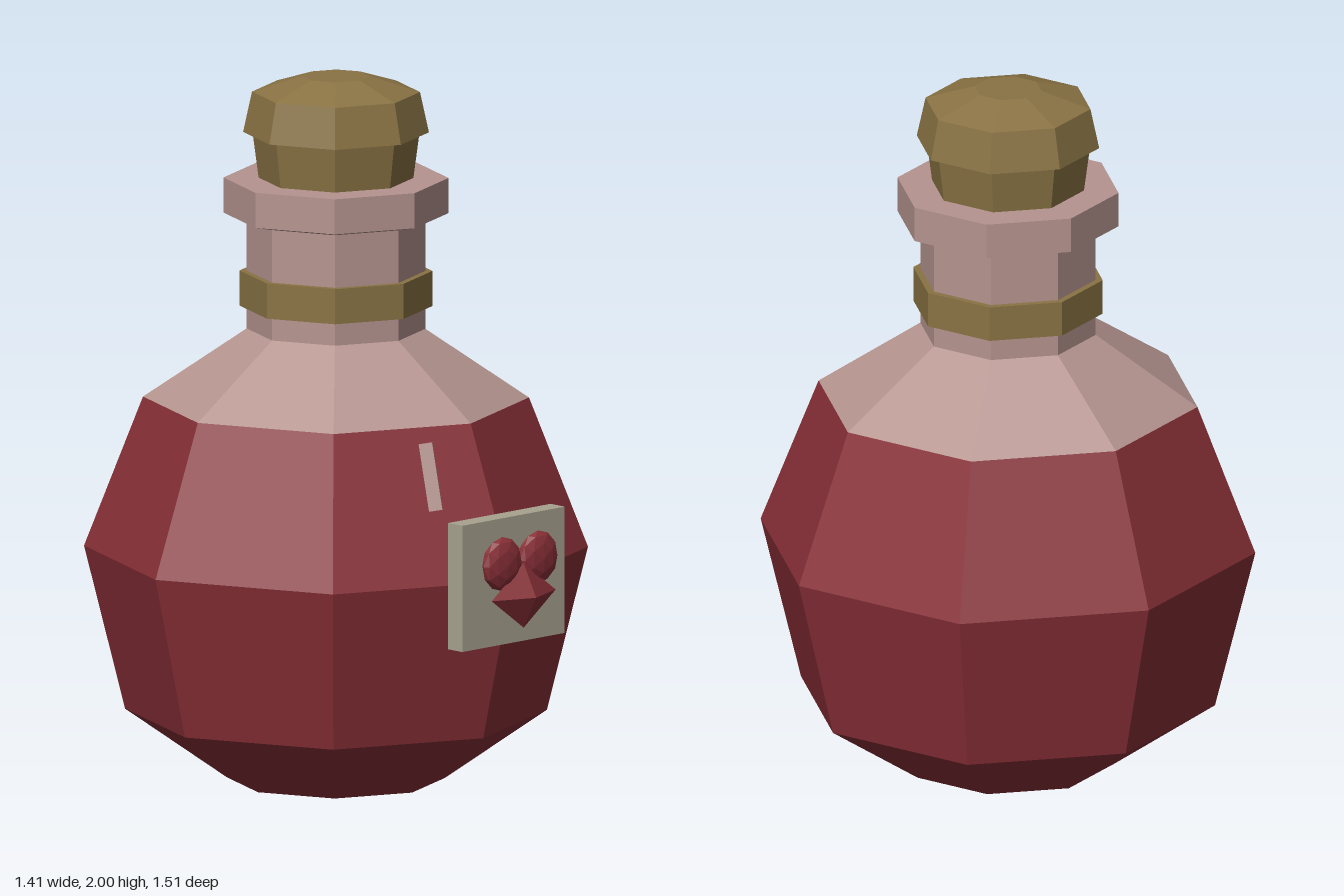
import * as THREE from 'three';

const material = (color) => new THREE.MeshStandardMaterial({ color, flatShading: true });

export function createModel() {
  const model = new THREE.Group();
  const red = material(0x8a3038);
  const glass = material(0xb5948f);
  const cork = material(0x8a7344);
  const paper = material(0xa8a38f);

  const add = (name, geometry, mat, parent = model) => {
    const mesh = new THREE.Mesh(geometry, mat);
    mesh.name = name;
    parent.add(mesh);
    return mesh;
  };

  // Eight-sided turned parts share one axis, set slightly back
  const bottle = new THREE.Group();
  bottle.name = 'bottle';
  bottle.position.z = -0.05;
  model.add(bottle);
  const turn = (name, profile, mat) =>
    add(name, new THREE.LatheGeometry(profile.map(([r, y]) => new THREE.Vector2(r, y)), 8), mat, bottle);

  turn('liquidBody', [[0, 0], [0.305, 0], [0.59, 0.195], [0.705, 0.66], [0.54, 1.085]], red);
  turn('shoulderAndNeck', [[0.54, 1.085], [0.25, 1.28], [0.25, 1.6]], glass);
  turn('lip', [[0.25, 1.595], [0.315, 1.61], [0.315, 1.71], [0.19, 1.71]], glass);
  turn('neckBand', [[0.25, 1.345], [0.27, 1.345], [0.27, 1.445], [0.25, 1.445]], cork);
  turn('corkStem', [[0, 1.66], [0.21, 1.66], [0.235, 1.85]], cork);
  turn('corkCap', [[0, 1.845], [0.26, 1.84], [0.235, 1.955], [0.095, 2], [0, 2]], cork);

  // Label plate on the front
  add('label', new THREE.BoxGeometry(0.4, 0.36, 0.057), paper).position.set(0, 0.665, 0.633);

  // Heart: two flattened lobes above a pointed diamond
  const heart = new THREE.Group();
  heart.name = 'heart';
  model.add(heart);
  for (const side of [-1, 1]) {
    const lobe = add(side > 0 ? 'leftLobe' : 'rightLobe', new THREE.IcosahedronGeometry(1, 1), red, heart);
    lobe.scale.set(0.073, 0.077, 0.028);
    lobe.position.set(side * 0.07, 0.722, 0.687);
  }
  const point = add('heartPoint', new THREE.OctahedronGeometry(1), red, heart);
  point.scale.set(0.125, 0.092, 0.05);
  point.position.set(0, 0.625, 0.702);

  // Slim glint bar leaning along the glass, turned edge-on
  const glint = add('glint', new THREE.BoxGeometry(0.038, 0.19, 0.038).rotateY(Math.PI / 4), glass);
  glint.position.set(-0.213, 0.97, 0.548);
  glint.rotation.x = -0.22;

  return model;
}
